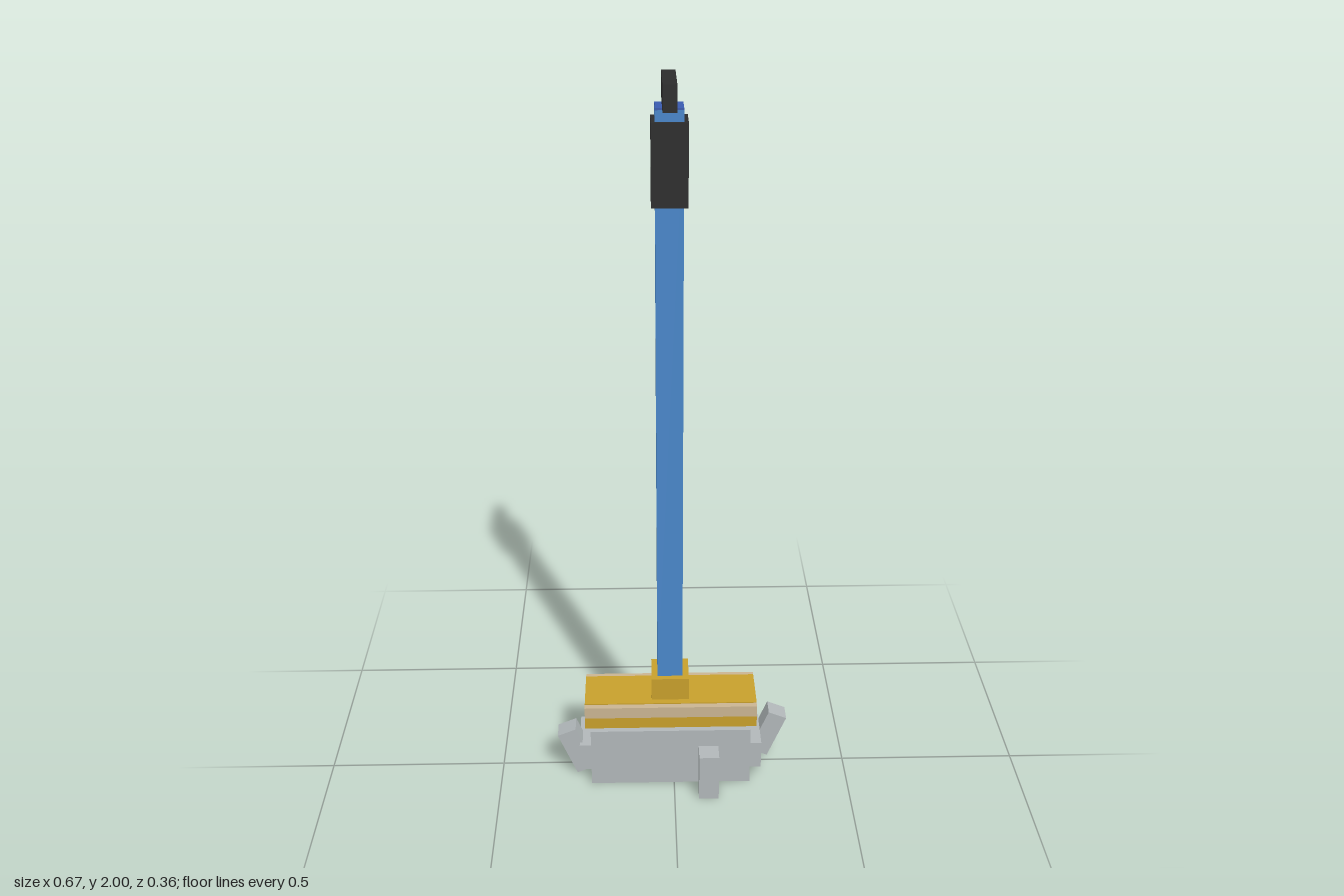
import * as THREE from 'three';

const flat = (name, color) => {
  const m = new THREE.MeshStandardMaterial({ color });
  m.name = name;
  return m;
};

export function createModel() {
  const grey = flat('light grey', 0xb2b8ba);
  const yellow = flat('mustard yellow', 0xc8a02c);
  const tan = flat('tan', 0xcab592);
  const black = flat('charcoal', 0x2c2c2c);
  const blue = flat('handle blue', 0x4a88cb);
  const deepBlue = flat('deep blue', 0x3a5bb0);

  const model = new THREE.Group();
  model.name = 'longHandledBrush';

  // Box given by its extents along each axis
  const box = (name, material, [x0, x1], [y0, y1], [z0, z1]) => {
    const mesh = new THREE.Mesh(new THREE.BoxGeometry(x1 - x0, y1 - y0, z1 - z0), material);
    mesh.position.set((x0 + x1) / 2, (y0 + y1) / 2, (z0 + z1) / 2);
    mesh.name = name;
    model.add(mesh);
    return mesh;
  };

  // Bristle block with narrower bristles showing at both ends
  box('bristleBlock', grey, [-0.238, 0.218], [0, 0.18], [-0.11, 0.1]);
  box('endBristlesRight', grey, [-0.272, -0.238], [0.024, 0.108], [-0.076, 0.065]);
  box('endBristlesLeft', grey, [0.218, 0.253], [0.024, 0.108], [-0.076, 0.065]);

  // Loose tufts: upright at front and back, splayed at the ends
  const tufts = [
    ['tuftFront', 0.097, 0.071, 0.15, 0],
    ['tuftBack', -0.151, 0.071, -0.153, 0],
    ['tuftLeft', 0.279, 0.078, -0.048, -Math.PI / 8],
    ['tuftRight', -0.282, 0.078, 0.023, Math.PI / 8],
  ];
  for (const [name, x, y, z, tilt] of tufts) {
    const tuft = new THREE.Mesh(new THREE.BoxGeometry(0.056, 0.141, 0.056), grey);
    tuft.position.set(x, y, z);
    tuft.rotation.z = tilt;
    tuft.name = name;
    model.add(tuft);
  }

  // Brush head: yellow base, tan band and yellow top panel
  box('headBase', yellow, [-0.254, 0.236], [0.18, 0.214], [-0.092, 0.083]);
  box('headBand', tan, [-0.254, 0.236], [0.214, 0.248], [-0.092, 0.083]);
  box('headTopPanel', yellow, [-0.254, 0.236], [0.248, 0.251], [-0.075, 0.065]);

  // Socket and handle
  box('socket', yellow, [-0.063, 0.043], [0.251, 0.32], [-0.058, 0.047]);
  box('handle', blue, [-0.046, 0.025], [0.32, 1.928], [-0.041, 0.03]);
  box('handleTop', deepBlue, [-0.046, 0.025], [1.928, 1.933], [-0.041, 0.03]);

  // Grip and hanging bar
  box('grip', black, [-0.056, 0.036], [1.69, 1.9], [-0.052, 0.04]);
  box('hangingBar', black, [-0.028, 0.007], [1.933, 2], [-0.092, 0.083]);

  return model;
}
